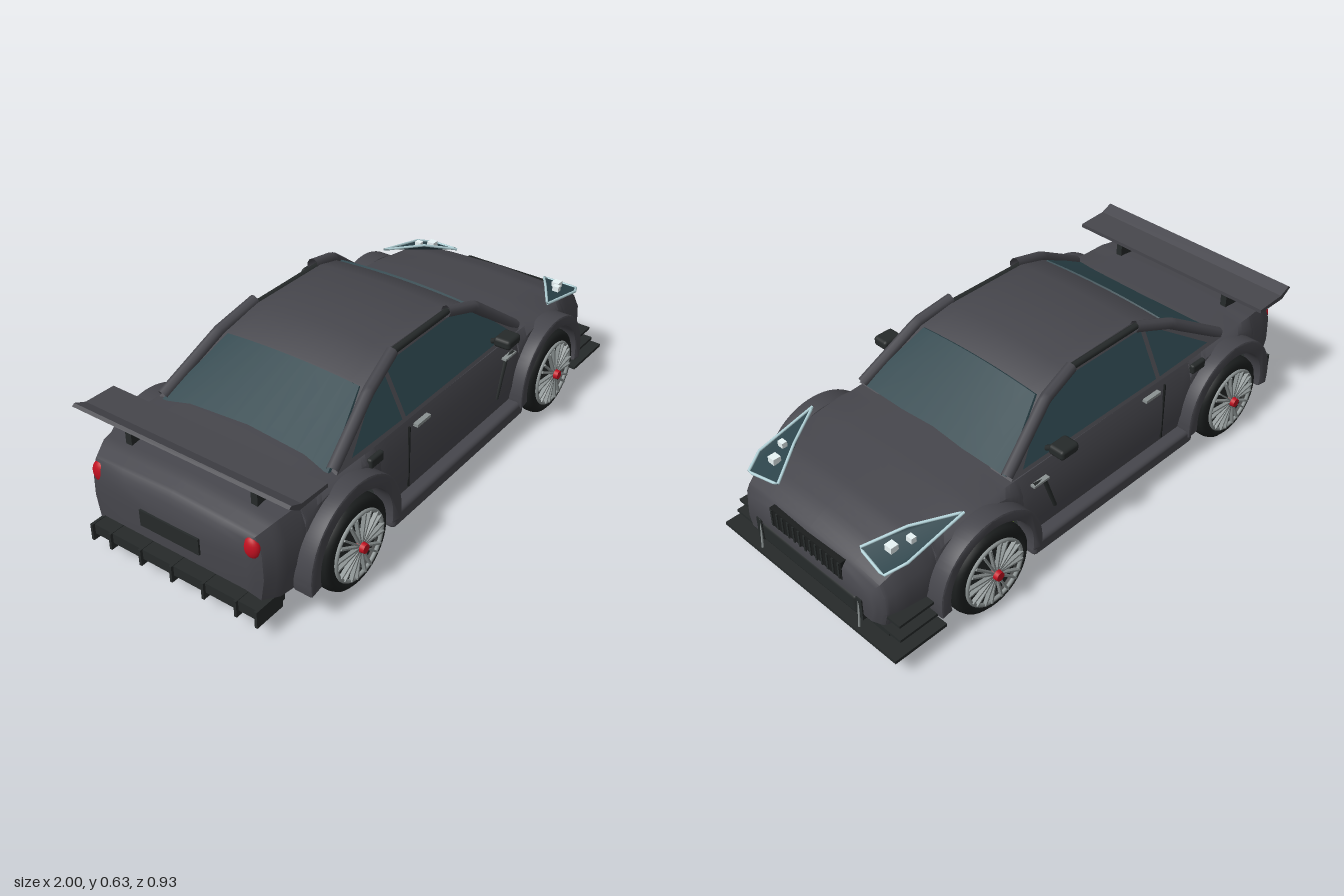
import * as THREE from 'three';
import { toCreasedNormals } from 'three/addons/utils/BufferGeometryUtils.js';
import { RoundedBoxGeometry } from 'three/addons/geometries/RoundedBoxGeometry.js';

const mat = (color, side = THREE.FrontSide) => new THREE.MeshStandardMaterial({ color, side });
const PAINT = mat(0x46464c), PAINT2 = mat(0x46464c, THREE.DoubleSide), BLACK = mat(0x262a2a), TYRE = mat(0x1b1e1e);
const GLASS = mat(0x2b434a, THREE.DoubleSide), METAL = mat(0x8b9292), PALE = mat(0xb4d4da);
const RED = mat(0xc01020), GREEN = mat(0xa8d040), LAMP = mat(0xe8f4f6);
const REAR = { x: -0.62, r: 0.185, outer: 0.235 }, FRONT = { x: 0.59, r: 0.18, outer: 0.222 }, AXLE = 0.164;
const V = (x, y, z) => new THREE.Vector3(x, y, z);

// body keys: x, half width, shoulder height, centre height, lower edge
const KEYS = [
  [-0.98, 0.3, 0.335, 0.35, 0.17], [-0.96, 0.345, 0.37, 0.385, 0.135], [-0.9, 0.37, 0.395, 0.41, 0.12],
  [-0.8, 0.385, 0.405, 0.422, 0.12], [-0.62, 0.39, 0.405, 0.43, 0.1], [-0.3, 0.39, 0.4, 0.42, 0.1],
  [0.4, 0.39, 0.392, 0.415, 0.1], [0.6, 0.385, 0.385, 0.405, 0.1], [0.8, 0.375, 0.358, 0.38, 0.12],
  [0.9, 0.36, 0.325, 0.347, 0.12], [0.95, 0.345, 0.292, 0.317, 0.125], [0.975, 0.31, 0.25, 0.285, 0.14]];

function keyAt(x) {
  let i = 0;
  while (i < KEYS.length - 2 && x > KEYS[i + 1][0]) i++;
  const t = (x - KEYS[i][0]) / (KEYS[i + 1][0] - KEYS[i][0]);
  return KEYS[i].map((v, k) => v + (KEYS[i + 1][k] - v) * t);
}

// lofted shell whose lower edge climbs over the wheel arches
function bodyGeometry() {
  const stations = [];
  const span = (a, b, n) => { for (let i = 0; i <= n; i++) stations.push([a + (b - a) * i / n]); };
  const arch = (w) => {
    for (let i = 0; i <= 20; i++) {
      const a = Math.PI * (1 - i / 20);
      stations.push([w.x + w.r * Math.cos(a), AXLE + w.r * Math.sin(a)]);
    }
  };
  span(-0.98, -0.94, 4); span(-0.92, REAR.x - REAR.r, 6); arch(REAR);
  span(REAR.x + REAR.r, FRONT.x - FRONT.r, 16); arch(FRONT);
  span(FRONT.x + FRONT.r, 0.94, 8); span(0.95, 0.975, 3);
  const pos = [], idx = [], n = 11;
  for (const [x, cut] of stations) {
    const [, w, sh, top, base] = keyAt(x), low = cut ?? base;
    const half = [[0.96, low], [1, low + 0.35 * (sh - low)], [0.99, low + 0.75 * (sh - low)],
      [0.93, sh], [0.6, top - 0.008], [0, top]];
    for (let j = 0; j < n; j++) {
      const [f, y] = half[j < 6 ? j : 10 - j];
      pos.push(x, y, (j < 6 ? 1 : -1) * f * w);
    }
  }
  const last = (stations.length - 1) * n;
  for (let i = 0; i < last; i += n) for (let j = 0; j < n - 1; j++) {
    const a = i + j, b = a + n;
    idx.push(a, b, b + 1, a, b + 1, a + 1);
  }
  const tail = pos.length / 3;
  pos.push(-0.985, 0.26, 0, 0.98, 0.21, 0);
  for (let j = 0; j < n; j++) {
    const k = (j + 1) % n;
    idx.push(tail, j, k, tail + 1, last + k, last + j);
  }
  const g = new THREE.BufferGeometry();
  g.setAttribute('position', new THREE.Float32BufferAttribute(pos, 3));
  g.setIndex(idx);
  return toCreasedNormals(g, 0.7);
}

const cabinHalf = (y) => 0.36 - 0.5 * (y - 0.41);
const shapeOf = (pts) => new THREE.Shape(pts.map(([x, y]) => new THREE.Vector2(x, y)));

// side profile swept across the car, leaning inwards and crowned with height
function cabinSlice(pts, k) {
  const g = new THREE.ExtrudeGeometry(shapeOf(pts), { depth: 2, steps: 10, bevelEnabled: false });
  g.translate(0, 0, -1);
  const p = g.attributes.position;
  for (let i = 0; i < p.count; i++) {
    const y = p.getY(i), t = p.getZ(i);
    p.setZ(i, t * k * cabinHalf(y));
    p.setY(i, y + 0.015 * (1 - t * t) * THREE.MathUtils.clamp((y - 0.41) / 0.2, 0, 1));
  }
  return toCreasedNormals(g, 0.4);
}

function fan(pts) {
  const g = new THREE.BufferGeometry().setFromPoints(pts), idx = [];
  for (let i = 1; i < pts.length - 1; i++) idx.push(0, i, i + 1);
  g.setIndex(idx);
  g.computeVertexNormals();
  return g;
}

export function createModel() {
  const car = new THREE.Group();
  car.name = 'car';
  const add = (name, geo, m, parent = car) => {
    const mesh = new THREE.Mesh(geo, m);
    mesh.name = name;
    parent.add(mesh);
    return mesh;
  };
  // box from its low and high corners
  const box = (name, x0, x1, y0, y1, z0, z1, m, r = 0) => {
    const s = [x1 - x0, y1 - y0, Math.abs(z1 - z0)];
    const mesh = add(name, r ? new RoundedBoxGeometry(...s, 2, r) : new THREE.BoxGeometry(...s), m);
    mesh.position.set((x0 + x1) / 2, (y0 + y1) / 2, (z0 + z1) / 2);
    return mesh;
  };
  const tube = (name, pts, r, m, closed = false) => {
    const path = new THREE.CurvePath();
    pts.forEach((p, i) => { if (i || closed) path.add(new THREE.LineCurve3(pts.at(i - 1), p)); });
    return add(name, new THREE.TubeGeometry(path, pts.length * 8, r, 8, closed), m);
  };

  // shell and cabin
  add('body', bodyGeometry(), PAINT);
  add('cabin', cabinSlice([[-0.64, 0.4], [0.44, 0.4], [0.22, 0.568], [0.1, 0.607], [-0.24, 0.61], [-0.38, 0.558]], 1), PAINT);
  add('windscreen', cabinSlice([[0.43, 0.405], [0.442, 0.408], [0.228, 0.572], [0.215, 0.565]], 0.94), GLASS);
  add('rearWindow', cabinSlice([[-0.63, 0.405], [-0.38, 0.553], [-0.388, 0.56], [-0.642, 0.41]], 0.94), GLASS);

  // underside
  box('floor', -0.87, 0.95, 0.095, 0.125, -0.33, 0.33, BLACK);
  box('middleFloor', -0.42, 0.4, 0.09, 0.12, -0.39, 0.39, BLACK);
  box('noseFloor', 0.78, 0.93, 0.115, 0.13, -0.35, 0.35, BLACK);

  // nose
  box('splitter', 0.79, 1, 0.072, 0.084, -0.43, 0.43, BLACK);
  box('lowerGrille', 0.9, 0.982, 0.125, 0.2, -0.235, 0.235, BLACK, 0.012);
  box('bumperBase', 0.82, 0.95, 0.09, 0.122, -0.345, 0.345, BLACK);
  box('grille', 0.93, 0.978, 0.23, 0.302, -0.175, 0.175, TYRE);
  for (let i = 0; i <= 12; i++) {
    const z = -0.165 + i * 0.0275;
    box('grilleBar', 0.97, 0.982, 0.234, 0.298, z - 0.004, z + 0.004, BLACK);
  }

  // tail
  box('diffuser', -0.99, -0.87, 0.082, 0.12, -0.345, 0.345, BLACK);
  for (const z of [-0.34, -0.26, -0.13, 0, 0.13, 0.26, 0.34]) box('diffuserFin', -1, -0.88, 0.06, 0.122, z - 0.005, z + 0.005, BLACK);
  box('rearPanel', -0.99, -0.96, 0.22, 0.28, -0.12, 0.12, BLACK);
  const wing = shapeOf([[-0.76, 0.474], [-0.76, 0.488], [-0.88, 0.492], [-0.925, 0.512], [-0.935, 0.504], [-0.89, 0.474]]);
  add('rearWing', new THREE.ExtrudeGeometry(wing, { depth: 0.86, bevelEnabled: false }), PAINT2).position.z = -0.43;

  for (const s of [1, -1]) {
    const glassAt = (pts) => fan(pts.map(([x, y]) => V(x, y, s * (cabinHalf(y) + 0.004))));
    add('doorWindow', glassAt([[-0.265, 0.415], [0.385, 0.415], [0.32, 0.475], [0.2, 0.565], [0.12, 0.58], [-0.265, 0.58]]), GLASS);
    add('quarterWindow', glassAt([[-0.55, 0.42], [-0.285, 0.415], [-0.285, 0.575], [-0.36, 0.54]]), GLASS);
    tube('frontPillar', [V(0.44, 0.41, s * 0.345), V(0.22, 0.573, s * 0.3), V(0.08, 0.61, s * 0.28)], 0.021, PAINT2);
    tube('rearPillar', [V(-0.63, 0.415, s * 0.345), V(-0.39, 0.557, s * 0.305), V(-0.23, 0.61, s * 0.28)], 0.021, PAINT2);
    tube('roofRail', [V(-0.25, 0.6, s * 0.272), V(0.1, 0.6, s * 0.272)], 0.012, BLACK);

    // headlight
    const lamp = [V(0.64, 0.41, s * 0.365), V(0.79, 0.394, s * 0.275), V(0.92, 0.345, s * 0.2), V(0.94, 0.332, s * 0.33), V(0.87, 0.358, s * 0.362)];
    add('headlight', fan(lamp), GLASS);
    tube('headlightTrim', lamp, 0.005, PALE, true);
    box('headlightLamp', 0.85, 0.88, 0.355, 0.378, s * 0.27, s * 0.3, LAMP);
    box('headlightLamp', 0.8, 0.82, 0.372, 0.392, s * 0.3, s * 0.325, LAMP);

    // side details
    box('sideSkirt', -0.42, 0.4, 0.085, 0.145, s * 0.36, s * 0.428, PAINT, 0.015);
    box('doorHandle', -0.25, -0.175, 0.377, 0.388, s * 0.38, s * 0.398, METAL);
    box('fuelCap', -0.5, -0.43, 0.358, 0.395, s * 0.375, s * 0.396, BLACK, 0.008);
    box('doorSeam', -0.285, -0.28, 0.16, 0.395, s * 0.384, s * 0.391, TYRE);
    tube('fenderVent', [V(0.365, 0.35, s * 0.388), V(0.315, 0.345, s * 0.388), V(0.265, 0.205, s * 0.388)], 0.008, BLACK);
    box('ventTrim', 0.3, 0.37, 0.346, 0.354, s * 0.38, s * 0.398, METAL);
    box('mirror', 0.22, 0.3, 0.443, 0.48, s * 0.385, s * 0.45, BLACK, 0.012);
    tube('mirrorArm', [V(0.27, 0.425, s * 0.345), V(0.265, 0.455, s * 0.4)], 0.01, BLACK);

    // bumper corners, wing posts and tail light
    box('canard', 0.77, 0.95, 0.165, 0.175, s * 0.33, s * 0.4, BLACK);
    box('lowerCanard', 0.77, 0.96, 0.118, 0.128, s * 0.3, s * 0.41, BLACK);
    box('bumperFin', 0.9, 0.98, 0.12, 0.205, s * 0.235, s * 0.262, BLACK);
    tube('splitterRod', [V(0.975, 0.205, s * 0.245), V(0.985, 0.08, s * 0.245)], 0.004, METAL);
    box('wingPost', -0.88, -0.78, 0.4, 0.478, s * 0.24, s * 0.265, BLACK);
    const tail = add('tailLight', new THREE.SphereGeometry(1, 20, 14), RED);
    tail.scale.set(0.022, 0.04, 0.032);
    tail.position.set(-0.958, 0.325, s * 0.305);

    for (const w of [REAR, FRONT]) {
      // arch flare
      const ring = new THREE.Shape();
      ring.absarc(0, 0, w.outer, -0.2, Math.PI + 0.2, false);
      ring.absarc(0, 0, w.r, Math.PI + 0.2, -0.2, true);
      const flare = add('archFlare', toCreasedNormals(new THREE.ExtrudeGeometry(ring, {
        depth: 0.058, curveSegments: 32, bevelSize: 0.006, bevelThickness: 0.008, bevelOffset: -0.006, bevelSegments: 2 }), 0.6), PAINT);
      flare.position.set(w.x, AXLE, s > 0 ? 0.37 : -0.428);

      // wheel, facing outwards along its own +z
      const wheel = new THREE.Group();
      wheel.name = 'wheel';
      wheel.position.set(w.x, AXLE, s * 0.4);
      wheel.rotation.y = s > 0 ? 0 : Math.PI;
      car.add(wheel);
      const profile = [[0.118, -0.035], [0.145, -0.036], [0.158, -0.026], [0.163, -0.01], [0.163, 0.01], [0.158, 0.026], [0.145, 0.036], [0.118, 0.035], [0.118, -0.035]];
      const lathe = new THREE.LatheGeometry(profile.map((p) => new THREE.Vector2(...p)), 48);
      add('tyre', lathe, TYRE, wheel).rotation.x = Math.PI / 2;
      add('brakeDisc', new THREE.CylinderGeometry(0.12, 0.12, 0.04, 40), BLACK, wheel).rotation.x = Math.PI / 2;
      add('rim', new THREE.TorusGeometry(0.118, 0.007, 8, 48), METAL, wheel).position.z = 0.038;
      for (let i = 0; i < 20; i++) {
        const arm = new THREE.Group();
        arm.rotation.z = (Math.floor(i / 2) + (i % 2 ? 0.2 : -0.2)) * Math.PI / 5;
        wheel.add(arm);
        add('spoke', new THREE.BoxGeometry(0.102, 0.006, 0.014), METAL, arm).position.set(0.067, 0, 0.042);
      }
      const hub = add('hub', new THREE.CylinderGeometry(0.016, 0.02, 0.03, 20), RED, wheel);
      hub.rotation.x = Math.PI / 2;
      hub.position.z = 0.05;
      box('caliper', w.x + (w === REAR ? 0.13 : -0.172), w.x + (w === REAR ? 0.172 : -0.13), 0.15, 0.21, s * 0.3, s * 0.35, GREEN);
    }
  }
  return car;
}
